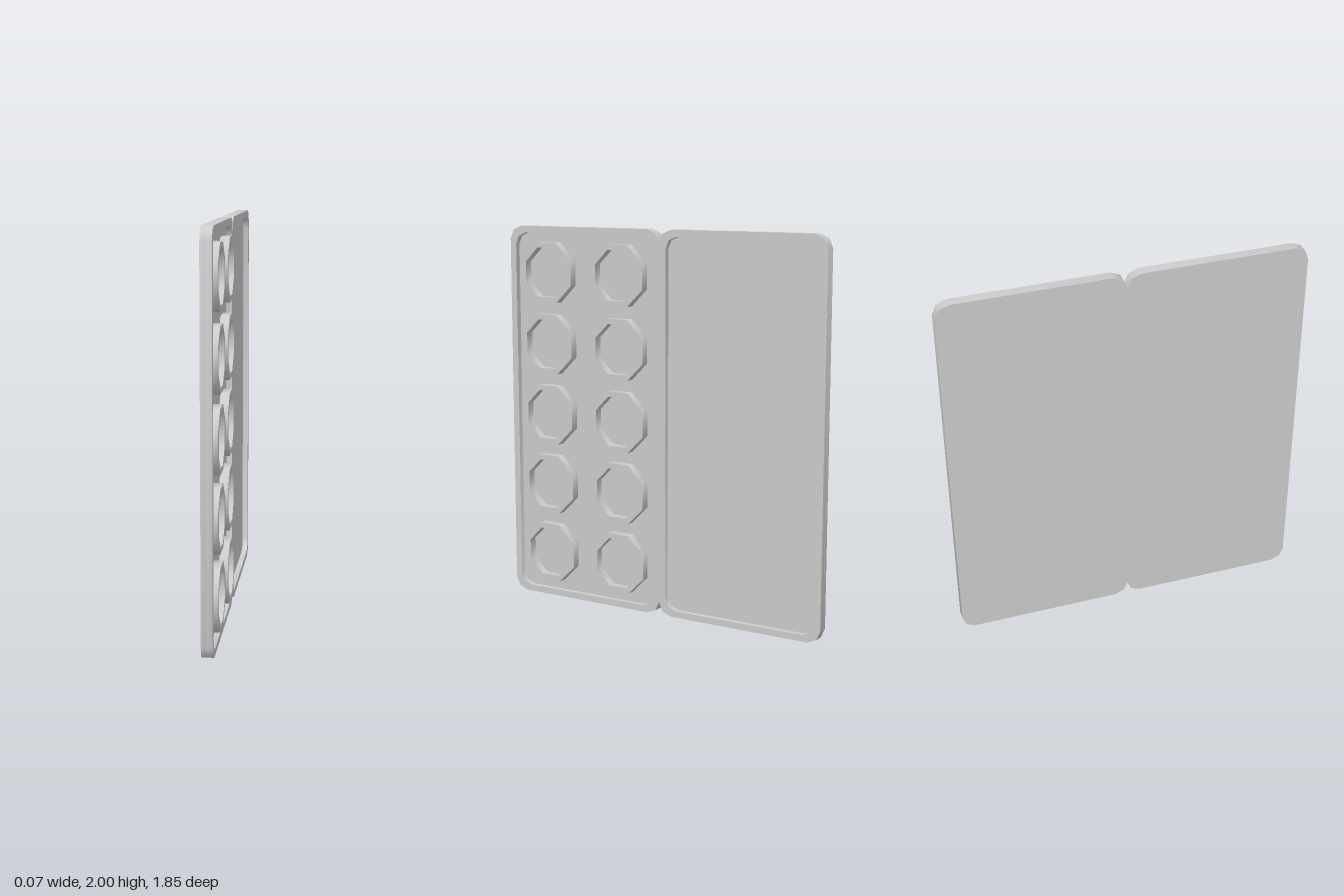
import * as THREE from 'three';
import { toCreasedNormals } from 'three/addons/utils/BufferGeometryUtils.js';

const BACK = -0.037, FLOOR = -0.01, RIM = 0.019, RING_TOP = 0.036;
const HALF_WIDTH = 0.925, HEIGHT = 2;
const material = new THREE.MeshStandardMaterial({ color: 0xcccccc });

// Rectangle with two-segment rounded corners, counter-clockwise from the lower left
function roundedRect(x0, x1, y0, y1, r) {
  const corners = [[x0 + r, y0 + r], [x1 - r, y0 + r], [x1 - r, y1 - r], [x0 + r, y1 - r]];
  return corners.flatMap(([cx, cy], i) => [0, 1, 2].map((k) => {
    const a = Math.PI + i * Math.PI / 2 + k * Math.PI / 4;
    return new THREE.Vector2(cx + r * Math.cos(a), cy + r * Math.sin(a));
  }));
}

// Octagon with flat sides at top, bottom, left and right
function octagon(apothem) {
  const r = apothem / Math.cos(Math.PI / 8);
  return Array.from({ length: 8 }, (_, i) => {
    const a = (i + 0.5) * Math.PI / 4;
    return new THREE.Vector2(r * Math.cos(a), r * Math.sin(a));
  });
}

// Extrudes an outline drawn in (-z, y) from one x level to another
function slab(name, outline, holes, from, to) {
  const shape = new THREE.Shape(outline);
  shape.holes = holes.map((h) => new THREE.Path(h));
  const geometry = new THREE.ExtrudeGeometry(shape, { depth: to - from, bevelEnabled: false });
  geometry.rotateY(Math.PI / 2).translate(from, 0, 0);
  const mesh = new THREE.Mesh(toCreasedNormals(geometry, 0.87), material);
  mesh.name = name;
  return mesh;
}

export function createModel() {
  const model = new THREE.Group();
  model.name = 'hingedCase';

  // Two panels joined along the middle, leaving a notch at each end of the fold
  const half = roundedRect(0, HALF_WIDTH, 0, HEIGHT, 0.07);
  const otherHalf = half.map((p) => new THREE.Vector2(-p.x, HEIGHT - p.y));
  const outline = [...half, ...otherHalf.slice(1, -1)];

  // Back plate and raised rim around both trays
  const trays = [
    roundedRect(0.038, HALF_WIDTH - 0.036, 0.034, HEIGHT - 0.034, 0.064),
    roundedRect(0.038 - HALF_WIDTH + 0 - 0.002, -0.038, 0.034, HEIGHT - 0.034, 0.064),
  ];
  trays[1] = trays[0].map((p) => new THREE.Vector2(-p.x, p.y)).reverse();
  model.add(slab('backPlate', outline, [], BACK, FLOOR));
  model.add(slab('rim', outline, trays, FLOOR, RIM));

  // Octagonal holders in two columns of five
  const holders = new THREE.Group();
  holders.name = 'holders';
  for (const z of [0.245, 0.685]) {
    for (let row = 0; row < 5; row++) {
      const ring = slab('holderRing', octagon(0.157), [octagon(0.129)], FLOOR, RING_TOP);
      ring.position.set(0, 0.245 + row * 0.379, z);
      holders.add(ring);
    }
  }
  model.add(holders);
  return model;
}
